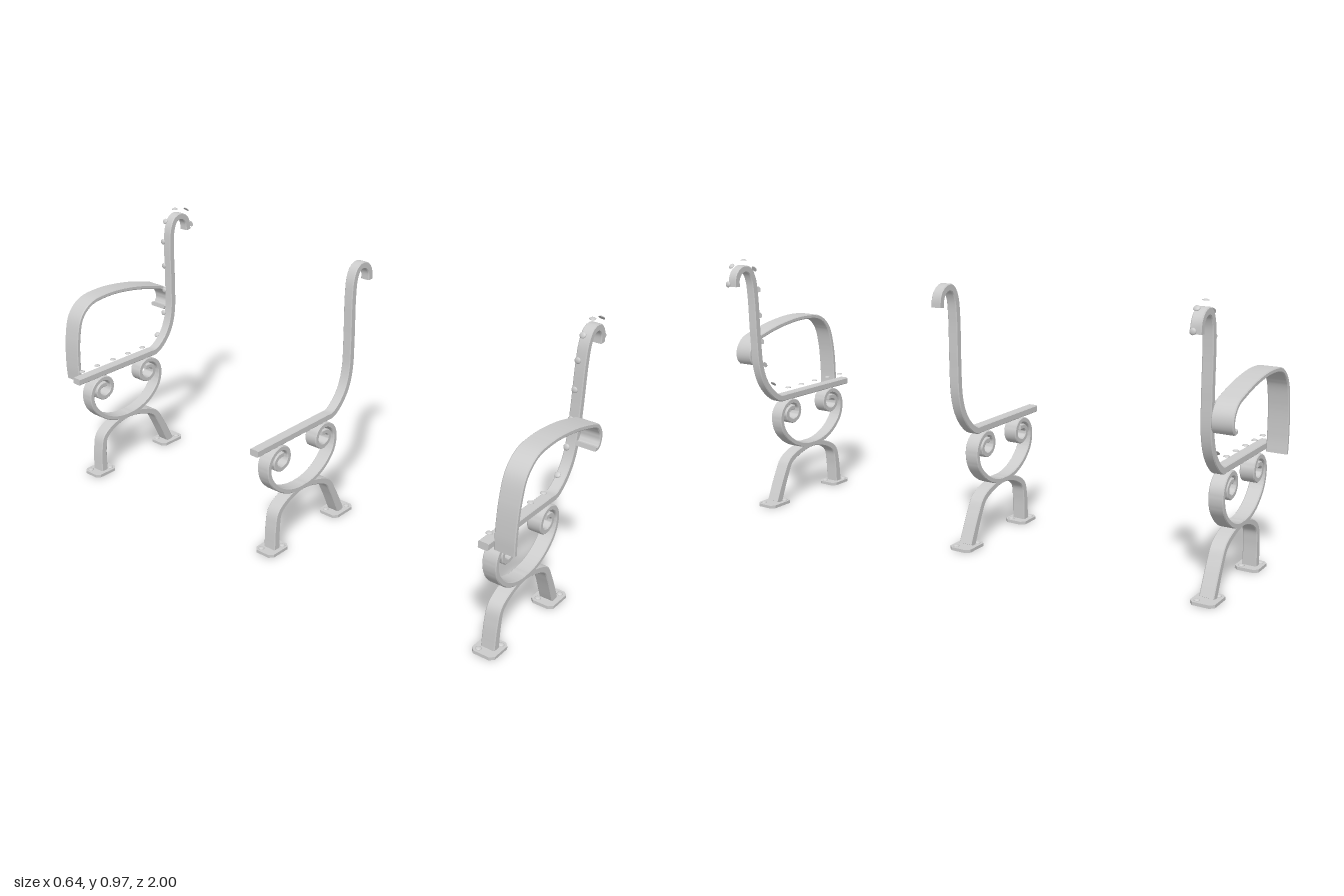
import * as THREE from 'three';
import { toCreasedNormals } from 'three/addons/utils/BufferGeometryUtils.js';

const material = new THREE.MeshStandardMaterial({ color: 0xcccccc });

function add(parent, name, geometry, x = 0, y = 0, z = 0) {
  const mesh = new THREE.Mesh(geometry, material);
  mesh.name = name;
  mesh.position.set(x, y, z);
  parent.add(mesh);
  return mesh;
}

// Flat bar bent along a curve in the xy plane; thickness may vary with t
function bentBar(points, thickness, depth, segments, chamfer = 0.003) {
  const curve = new THREE.CatmullRomCurve3(points.map(([x, y]) => new THREE.Vector3(x, y, 0)), false, 'centripetal');
  const pos = [], idx = [], d = depth / 2, c = chamfer;
  for (let i = 0; i <= segments; i++) {
    const t = i / segments, p = curve.getPointAt(t), g = curve.getTangentAt(t);
    const h = (typeof thickness === 'function' ? thickness(t) : thickness) / 2;
    const section = [[h, -d + c], [h, d - c], [h - c, d], [c - h, d], [-h, d - c], [-h, c - d], [c - h, -d], [h - c, -d]];
    for (const [n, z] of section) pos.push(p.x - g.y * n, p.y + g.x * n, z);
  }
  for (let i = 0; i < segments; i++) {
    for (let k = 0; k < 8; k++) {
      const a = i * 8 + k, b = i * 8 + (k + 1) % 8;
      idx.push(a, b, b + 8, a, b + 8, a + 8);
    }
  }
  const e = segments * 8;
  for (let k = 1; k < 7; k++) idx.push(0, k + 1, k, e, e + k, e + k + 1);
  const geometry = new THREE.BufferGeometry();
  geometry.setAttribute('position', new THREE.Float32BufferAttribute(pos, 3));
  geometry.setIndex(idx);
  return toCreasedNormals(geometry, 0.6);
}

// Seat rail running into the back post and its hooked top
const railPath = [[-0.322, 0.417], [-0.1, 0.417], [0.04, 0.417], [0.078, 0.418], [0.12, 0.446], [0.157, 0.495],
  [0.178, 0.56], [0.186, 0.675], [0.191, 0.83], [0.2, 0.895], [0.219, 0.928], [0.243, 0.935],
  [0.268, 0.925], [0.282, 0.903], [0.284, 0.873]];
// Armrest loop, curled at the back post
const armPath = [[-0.284, 0.398], [-0.286, 0.455], [-0.277, 0.57], [-0.253, 0.649], [-0.203, 0.692], [-0.112, 0.705],
  [0.004, 0.695], [0.106, 0.672], [0.165, 0.651], [0.19, 0.62], [0.193, 0.59], [0.18, 0.569], [0.163, 0.571]];
// Half of the scroll support, measured from its axis of symmetry
const AXIS = -0.094;
const halfScroll = [[0.104, 0.371], [0.128, 0.37], [0.144, 0.356], [0.141, 0.333], [0.115, 0.319], [0.085, 0.33],
  [0.075, 0.356], [0.087, 0.385], [0.117, 0.397], [0.152, 0.384], [0.173, 0.356], [0.176, 0.32],
  [0.162, 0.28], [0.118, 0.236], [0.06, 0.209]];
const scrollPath = [
  ...halfScroll.map(([x, y]) => [AXIS - x, y]), [AXIS, 0.201],
  ...halfScroll.map(([x, y]) => [AXIS + x, y]).reverse(),
];
const legPath = [[-0.24, 0.01], [-0.234, 0.1], [-0.222, 0.148], [-0.178, 0.18], [-0.094, 0.201],
  [-0.01, 0.186], [0.043, 0.159], [0.07, 0.115], [0.118, 0.01]];

// Foot plate with clipped corners
function footGeometry(width, depth) {
  const w = width / 2, d = depth / 2, c = 0.014, s = new THREE.Shape();
  [[w, c - d], [w, d - c], [w - c, d], [c - w, d], [-w, d - c], [-w, c - d], [c - w, -d], [w - c, -d]]
    .forEach(([x, y], i) => (i ? s.lineTo(x, y) : s.moveTo(x, y)));
  s.closePath();
  return new THREE.ExtrudeGeometry(s, { depth: 0.011, bevelEnabled: false }).rotateX(-Math.PI / 2);
}

// Low domed screw head with its flat side at the origin
const screwGeometry = new THREE.SphereGeometry(0.011, 12, 4, 0, Math.PI * 2, 0, Math.PI / 2).scale(1, 0.45, 1);
const screwBase = new THREE.CircleGeometry(0.011, 12).rotateX(Math.PI / 2);

function screw(parent, x, y, z, angle) {
  const g = new THREE.Group();
  g.name = 'screwHead';
  add(g, 'screwDome', screwGeometry);
  add(g, 'screwBase', screwBase);
  g.position.set(x, y, z);
  g.rotation.z = angle;
  parent.add(g);
}

// Slat screws: x, y and tilt from vertical
const slatScrews = [
  ...[-0.292, -0.217, -0.138, -0.059, 0.018].map((x) => [x, 0.447, 0]),
  [0.1, 0.477, 0.8], [0.142, 0.559, 1.3], [0.153, 0.651, 1.5], [0.158, 0.751, 1.53], [0.16, 0.849, 1.53],
  [0.178, 0.927, 1.1], [0.231, 0.964, 0.1], [0.293, 0.949, -0.75], [0.315, 0.885, -1.5],
];

const railGeometry = bentBar(railPath, 0.025, 0.036, 90);
const scrollGeometry = bentBar(scrollPath, 0.019, 0.05, 150);
const legGeometry = bentBar(legPath, (t) => 0.02 + 0.011 * Math.min(1, 2 * Math.abs(t - 0.45)), 0.05, 60);
const armGeometry = bentBar(armPath, 0.016, 0.072, 90);

// One upright frame; side is 0 for the plain middle one, or the sign of z
function createFrame(name, side) {
  const frame = new THREE.Group();
  frame.name = name;
  add(frame, 'seatRailAndBackPost', railGeometry);
  add(frame, 'scrollSupport', scrollGeometry);
  add(frame, 'legArch', legGeometry);

  for (const [x, width] of [[-0.241, 0.1], [0.12, 0.11]]) {
    add(frame, 'footPlate', footGeometry(width, 0.084), x);
    for (const s of [-1, 1]) screw(frame, x + s * width * 0.31, 0.011, s * 0.022, 0);
  }

  if (side) {
    add(frame, 'armrest', armGeometry, 0, 0, side * 0.054);
    for (const [x, y, angle] of slatScrews) screw(frame, x, y, 0, angle);
  }
  frame.position.z = side * 0.91;
  return frame;
}

export function createModel() {
  const model = new THREE.Group();
  model.name = 'benchFrames';
  model.add(createFrame('leftEndFrame', 1), createFrame('middleFrame', 0), createFrame('rightEndFrame', -1));
  return model;
}
